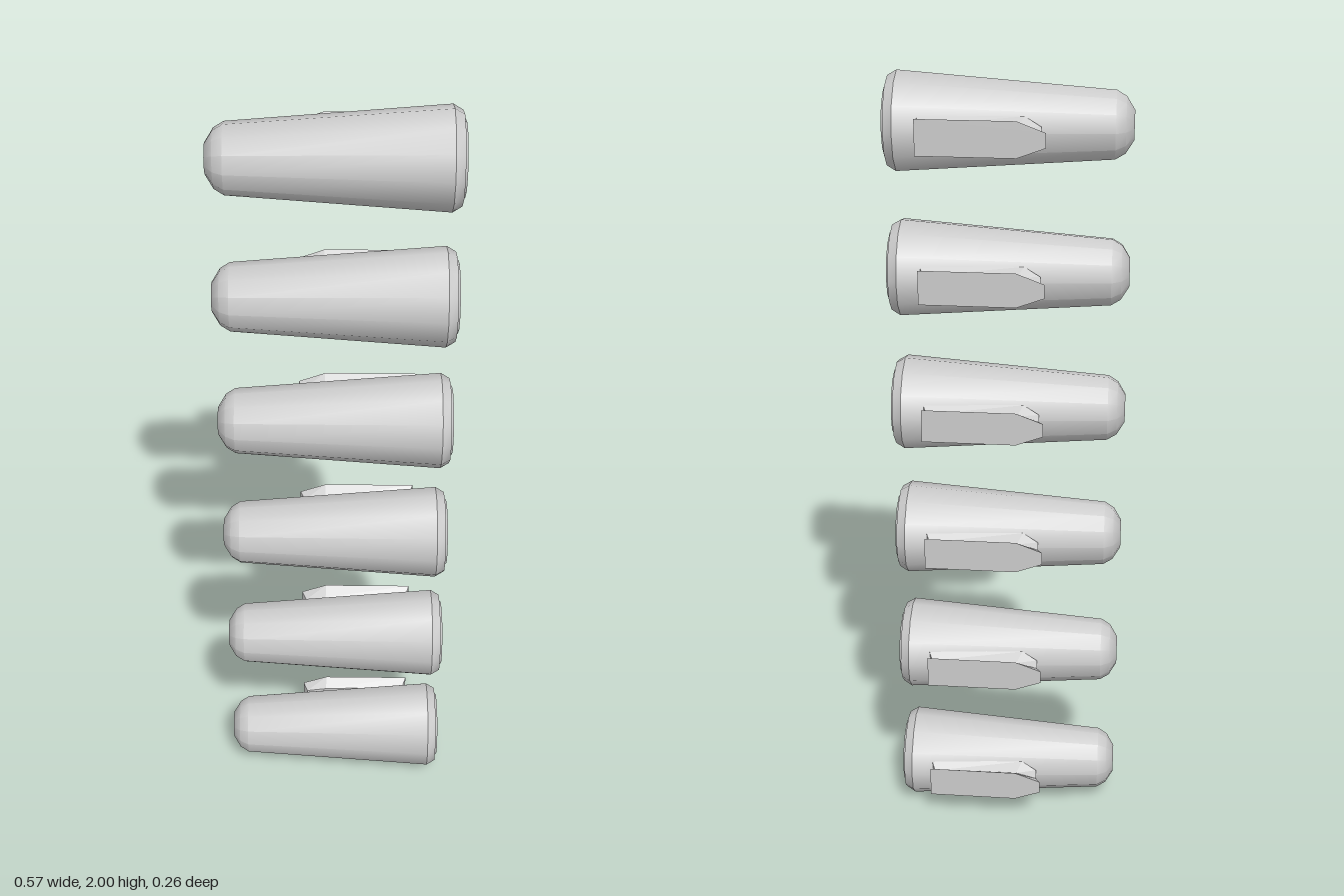
import * as THREE from 'three';
import { toCreasedNormals } from 'three/addons/utils/BufferGeometryUtils.js';

const AXIS_Z = 0.013;

// Tapered twelve-sided body turned around the x axis: [x, radius]
function bodyGeometry() {
  const profile = [
    [-0.285, 0], [-0.285, 0.035], [-0.266, 0.066], [-0.243, 0.08],
    [0.257, 0.117], [0.279, 0.104], [0.279, 0.09], [0.285, 0.084], [0.285, 0],
  ].map(([x, r]) => new THREE.Vector2(r, x));
  const geometry = new THREE.LatheGeometry(profile, 12);
  geometry.rotateZ(-Math.PI / 2);
  return toCreasedNormals(geometry, 0.59);
}

// Dovetail rail: three six-sided sections lofted from the body outwards
function railGeometry() {
  // tip, shoulder and end of each section, as [x, half height, z]
  const sections = [
    [[-0.078, 0.017, -0.081], [-0.04, 0.038, -0.073], [0.203, 0.038, -0.088]],
    [[-0.08, 0.01, -0.108], [-0.026, 0.022, -0.104], [0.193, 0.022, -0.109]],
    [[-0.091, 0.017, -0.133], [-0.025, 0.042, -0.132], [0.203, 0.042, -0.129]],
  ];
  const positions = [];
  const index = [];
  for (const s of sections) {
    for (const [x, h, z] of s) positions.push(x, h, z);
    for (const [x, h, z] of [...s].reverse()) positions.push(x, -h, z);
  }
  for (let k = 0; k < 2; k++) {
    for (let i = 0; i < 6; i++) {
      const a = k * 6 + i;
      const b = k * 6 + (i + 1) % 6;
      index.push(a, b, b + 6, a, b + 6, a + 6);
    }
  }
  for (let i = 1; i < 5; i++) index.push(12, 12 + i, 13 + i);
  const geometry = new THREE.BufferGeometry();
  geometry.setAttribute('position', new THREE.Float32BufferAttribute(positions, 3));
  geometry.setIndex(index);
  const flat = geometry.toNonIndexed();
  flat.computeVertexNormals();
  return flat;
}

export function createModel() {
  const model = new THREE.Group();
  model.name = 'taperedPodStack';
  const grey = new THREE.MeshStandardMaterial({ color: 0xcccccc });
  const bodyGeo = bodyGeometry();
  const railGeo = railGeometry();

  // Six identical pods in a vertical column
  for (let i = 0; i < 6; i++) {
    const pod = new THREE.Group();
    pod.name = `pod${i + 1}`;
    pod.position.y = 0.119 + i * 0.353;

    const body = new THREE.Mesh(bodyGeo, grey);
    body.name = 'taperedBody';
    body.position.z = AXIS_Z;

    const rail = new THREE.Mesh(railGeo, grey);
    rail.name = 'mountingRail';

    pod.add(body, rail);
    model.add(pod);
  }
  return model;
}
